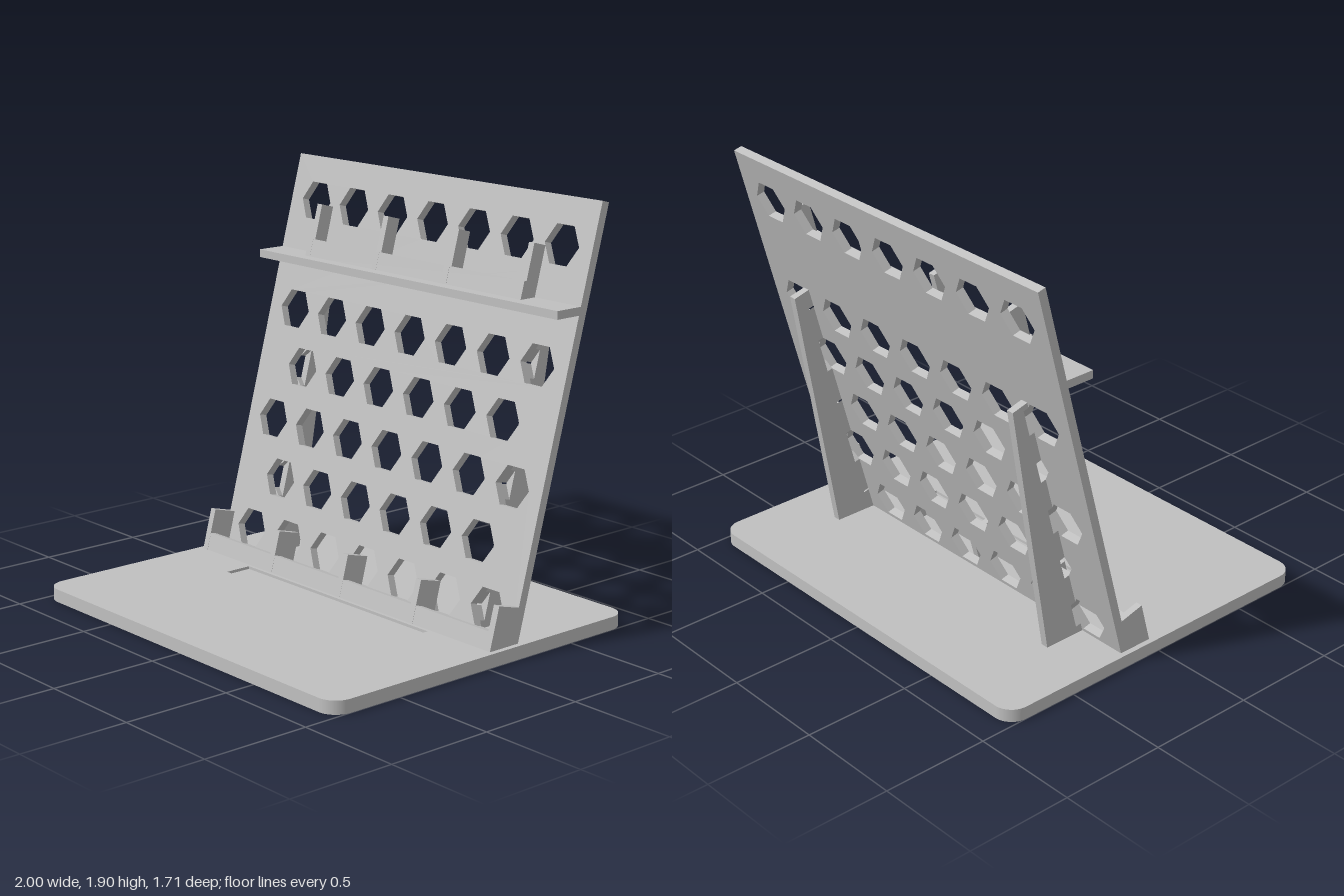
import * as THREE from 'three';

const TILT = Math.PI / 12, S = Math.sin(TILT), C = Math.cos(TILT);
const HEX = 0.1, PITCH = 0.266, HALF_W = 0.975, THICK = 0.04;
// hole rows: height along the panel and number of holes
const ROWS = [[0.115, 7], [0.384, 6], [0.65, 7], [0.918, 6], [1.18, 7], [1.7, 7]];

const grey = new THREE.MeshStandardMaterial({ color: 0xc0c0c0 });
grey.name = 'light grey';

function mesh(name, geometry, parent) {
  const m = new THREE.Mesh(geometry, grey);
  m.name = name;
  parent.add(m);
  return m;
}

// side profile of [height, forward] points, extruded from x0 to x1
function prism(points, x0, x1) {
  const shape = new THREE.Shape(points.map(([t, n]) => new THREE.Vector2(-n, t)));
  return new THREE.ExtrudeGeometry(shape, { depth: x1 - x0, bevelEnabled: false })
    .rotateY(Math.PI / 2).translate(x0, 0, 0);
}

// panel height at which a point n in front of the panel meets world level y above the base
const level = (y, n) => (y - n * S) / C;

function roundedRect(w, d, r) {
  const s = new THREE.Shape();
  s.absarc(w - r, d - r, r, 0, Math.PI / 2);
  s.absarc(-w + r, d - r, r, Math.PI / 2, Math.PI);
  s.absarc(-w + r, -d + r, r, Math.PI, Math.PI * 1.5);
  s.absarc(w - r, -d + r, r, Math.PI * 1.5, Math.PI * 2);
  return s;
}

function buildBase(parent) {
  const slab = (name, y0, y1, holes) => {
    const s = roundedRect(1, 0.855, 0.09);
    s.holes.push(...holes);
    const g = new THREE.ExtrudeGeometry(s, { depth: y1 - y0, bevelEnabled: false, curveSegments: 16 });
    mesh(name, g.rotateX(-Math.PI / 2).translate(0, y0, 0), parent);
  };
  // round recesses for feet underneath
  const feet = [];
  for (const x of [-0.7, 0.7]) for (const z of [-0.76, 0.76]) {
    feet.push(new THREE.Path().absarc(x, z, 0.062, 0, Math.PI * 2, true));
  }
  // shallow long recess on top (shape y is -z)
  const slot = new THREE.Path([[-0.61, 0.02], [-0.61, -0.11], [0.61, -0.11], [0.61, 0.02]]
    .map(p => new THREE.Vector2(...p)));
  slot.closePath();
  slab('baseUnderside', 0, 0.02, feet);
  slab('baseCore', 0.02, 0.047, []);
  slab('baseTop', 0.047, 0.06, [slot]);
}

function buildPanel(parent) {
  const s = new THREE.Shape([[-HALF_W, 0], [HALF_W, 0], [HALF_W, 1.91], [-HALF_W, 1.91]]
    .map(p => new THREE.Vector2(...p)));
  for (const [t, count] of ROWS) {
    for (let i = 0; i < count; i++) {
      const x = (i - (count - 1) / 2) * PITCH, pts = [];
      for (let k = 0; k < 6; k++) {
        const a = -k * Math.PI / 3;
        pts.push(new THREE.Vector2(x + HEX * Math.cos(a), t + HEX * Math.sin(a)));
      }
      s.holes.push(new THREE.Path(pts));
    }
  }
  const g = new THREE.ExtrudeGeometry(s, { depth: THICK, bevelEnabled: false });
  mesh('backPanel', g.translate(0, 0, -THICK), parent);
}

// rear brace, notched where the hexagonal holes run on into it
function buildBrace(name, x0, x1, parent) {
  const NOTCH = 0.05, back = -THICK, deep = back - 0.027, rows = ROWS.slice(0, 5);
  const pts = [[level(0, back), back]];
  for (const [t] of rows) {
    pts.push([t - NOTCH, back], [t - NOTCH, deep], [t + NOTCH, deep], [t + NOTCH, back]);
  }
  pts.push([1.27, back], [1.27, -0.12], [level(0, -0.237), -0.237]);
  const g = prism(pts, x0, x1);
  const p = g.attributes.position;
  for (let i = 0; i < p.count; i++) {
    if (p.getZ(i) < deep - 0.001) continue;
    for (const [t, count] of rows) {
      const d = p.getY(i) - t;
      if (Math.abs(Math.abs(d) - NOTCH) > 1e-4) continue;
      // half height of the nearest hexagon at this x
      const off = Math.abs(Math.abs(p.getX(i)) - (count === 7 ? 3 : 2.5) * PITCH);
      const half = Math.min(HEX * 0.866, Math.max(0.001, (HEX - off) * 1.732));
      p.setY(i, t + Math.sign(d) * half);
      break;
    }
  }
  g.computeVertexNormals();
  mesh(name, g, parent);
}

export function createModel() {
  const model = new THREE.Group();
  model.name = 'perforatedStand';
  buildBase(model);

  // everything leaning back with the panel
  const leaning = new THREE.Group();
  leaning.name = 'leaningRack';
  leaning.position.set(0, 0.06, -0.16);
  leaning.rotation.x = -TILT;
  model.add(leaning);
  buildPanel(leaning);
  buildBrace('leftBrace', 0.7, 0.735, leaning);
  buildBrace('rightBrace', -0.735, -0.7, leaning);

  // lower tray: lip and five dividers
  mesh('lowerLip', prism([[level(0, 0.085), 0.085], [0.05, 0.085], [0.05, 0.12], [level(0, 0.12), 0.12]],
    -HALF_W + 0.01, HALF_W - 0.01), leaning);
  for (let i = -2; i <= 2; i++) {
    const x = i * 0.48;
    const c = Math.abs(i) === 2 ? Math.sign(i) * (HALF_W - 0.016) : x;
    mesh('lowerDivider', prism([[0, 0], [0.165, 0], [0.165, 0.121], [level(0, 0.121), 0.121]],
      c - 0.016, c + 0.016), leaning);
  }

  // upper shelf, level with the base
  const shelf = new THREE.BoxGeometry(HALF_W * 2, 0.037, 0.15);
  mesh('upperShelf', shelf, model).position.set(0, 1.451, -0.472);

  // upper tray: lip and four dividers standing on the shelf
  const top = 1.46 - 0.06;
  mesh('upperLip', prism([[level(top, 0.048), 0.048], [1.52, 0.048], [1.52, 0.082], [level(top, 0.082), 0.082]],
    -0.68, 0.68), leaning);
  for (const x of [-0.69, -0.23, 0.23, 0.69]) {
    mesh('upperDivider', prism([[level(top, 0), 0], [1.686, 0], [1.686, 0.07], [1.52, 0.07],
      [1.52, 0.083], [level(top, 0.083), 0.083]], x - 0.016, x + 0.016), leaning);
  }
  return model;
}
